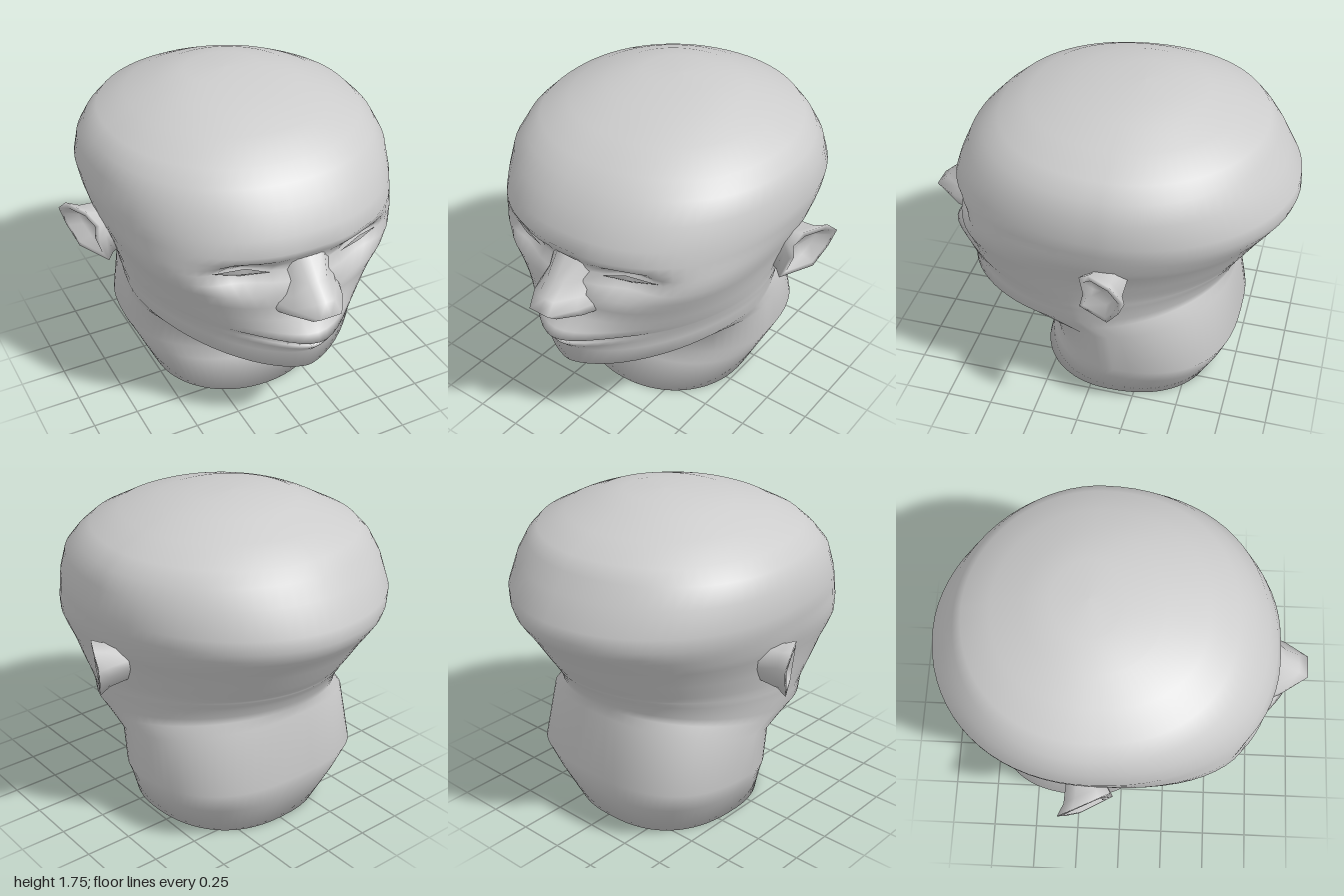
import * as THREE from 'three';

const skin = new THREE.MeshStandardMaterial({ color: 0xcccccc });
skin.name = 'plain grey';

// Skin rows of points; columns run counter-clockwise round the direction of travel
function loft(name, rows, closed, flip = false) {
  const n = rows[0].length, pos = rows.flat(2), index = [];
  for (let i = 0; i < rows.length - 1; i++) {
    for (let j = 0; j < (closed ? n : n - 1); j++) {
      const k = (j + 1) % n;
      const a = i * n + j, b = i * n + k, c = a + n, d = b + n;
      if (flip) index.push(a, d, b, a, c, d);
      else index.push(a, b, d, a, d, c);
    }
  }
  const g = new THREE.BufferGeometry();
  g.setAttribute('position', new THREE.Float32BufferAttribute(pos, 3));
  g.setIndex(index);
  g.computeVertexNormals();
  const mesh = new THREE.Mesh(g, skin);
  mesh.name = name;
  return mesh;
}

// Tilted rings: y at front, y at back, z front, z back, half width,
// z of widest point, fullness of the front half, fullness of the back half
const neck = [
  [0, 0, .36, -.62, .48, -.1, 2.1, 2.4],
  [.2, .2, .315, -.705, .57, -.15, 2, 2.6],
  [.28, .34, .3, -.755, .62, -.17, 1.9, 2.7],
  [.41, .68, .34, -.705, .62, -.14, 1.85, 2.3],
];
const face = [
  [.44, .73, .64, -.705, .625, -.04, 1.6],
  [.48, .77, .81, -.72, .64, 0, 1.58],
  [.58, .81, .81, -.74, .65, 0, 1.6],
  [.64, .835, .80, -.755, .66, 0, 1.66],
  [.68, .855, .80, -.77, .665, 0, 1.73],
  [.695, .865, .80, -.775, .667, 0, 1.75],
  [.71, .875, .80, -.78, .67, 0, 1.78],
  [.755, .9, .80, -.80, .677, 0, 1.88],
  [.82, .93, .80, -.82, .69, -.02, 2.03],
  [.9, .975, .80, -.85, .705, -.04, 2.22],
  [.98, 1.03, .81, -.885, .727, -.06, 2.45],
  [1.04, 1.07, .815, -.91, .747, -.08, 2.55],
  [1.09, 1.11, .815, -.94, .762, -.1, 2.5],
  [1.13, 1.145, .815, -.965, .772, -.1, 2.43],
  [1.17, 1.175, .815, -.985, .78, -.12, 2.35],
];
const cranium = [
  [1.22, 1.22, .82, -1, .79, -.13, 2.27],
  [1.30, 1.29, .79, -.995, .803, -.14, 2.22],
  [1.42, 1.42, .735, -.92, .788, -.14, 2.22],
  [1.51, 1.51, .65, -.86, .745, -.14, 2.2],
  [1.58, 1.58, .57, -.81, .675, -.14, 2.2],
  [1.66, 1.65, .42, -.66, .53, -.14, 2.2],
  [1.72, 1.715, .2, -.5, .37, -.14, 2.1],
  [1.75, 1.75, 0, -.36, .21, -.17, 2],
  [1.755, 1.755, -.17, -.17, 0, -.17, 2],
];

// Lip bulge by height
const lips = [[.58, 0], [.64, .065], [.68, .09], [.695, .01], [.71, .115], [.755, .09], [.82, .02], [.9, 0]];
function lipBulge(y) {
  for (let i = 1; i < lips.length; i++) {
    const [y0, b0] = lips[i - 1], [y1, b1] = lips[i];
    if (y >= y0 && y <= y1) return b0 + (b1 - b0) * (y - y0) / (y1 - y0);
  }
  return 0;
}

function ring([yF, yB, zF, zB, w, zW, nF, nB = 2]) {
  const pts = [], N = 72;
  for (let j = 0; j < N; j++) {
    const t = j / N * Math.PI * 2, s = Math.sin(t), c = Math.cos(t);
    // the back is slightly fuller on the right
    const p = 2 / (c > 0 ? nF : nB + (s < 0 ? .1 : -.07));
    const x = w * Math.sign(s) * Math.abs(s) ** p;
    let z = zW + (c > 0 ? zF - zW : zW - zB) * Math.sign(c) * Math.abs(c) ** p;
    const y = yF + (yB - yF) * (zF - z) / Math.max(zF - zB, .001);
    if (c > 0) {
      z += lipBulge(yF) * Math.exp(-((x / .23) ** 2));
      // eye sockets and the dip between them
      z -= .135 * Math.exp(-(((Math.abs(x) - .33) / .16) ** 2) - ((y - 1.09) / .065) ** 2);
      z -= .06 * Math.exp(-((x / .18) ** 2) - ((y - 1.11) / .07) ** 2);
    }
    pts.push([x, y, z]);
  }
  return pts;
}

// Nose: y, ridge z, ridge half width, mid half width, base half width, base z
function nose() {
  const rows = [
    [.855, .74, .06, .13, .18, .72],
    [.855, .84, .05, .13, .19, .72],
    [.89, .95, .07, .155, .21, .72],
    [.93, 1.0, .06, .14, .20, .72],
    [.98, .945, .05, .12, .18, .71],
    [1.05, .865, .05, .10, .16, .70],
    [1.15, .775, .06, .10, .15, .70],
  ].map(([y, z, t, m, b, zb]) => {
    const zm = zb + (z - zb) * .55;
    return [[-b, y, zb], [-m, y, zm], [-t, y, z], [0, y, z], [t, y, z], [m, y, zm], [b, y, zb]];
  });
  return loft('nose', rows, false);
}

// Ear outline as z, y pairs
const earOutline = [[-.03, .85], [-.2, .87], [-.27, .98], [-.305, 1.07], [-.23, 1.14], [-.1, 1.135], [-.04, 1.07], [-.06, .97]];
function ear(side) {
  const cz = -.16, cy = 1.0;
  const loop = (scale, xOf) => earOutline.map(([z, y]) => {
    const zz = cz + (z - cz) * scale, yy = cy + (y - cy) * scale;
    return [side * xOf(zz, yy), yy, zz];
  });
  // the rim swings outward towards the back
  const flap = (z, y) => {
    const d = -z - .03;
    return .775 + .7 * d - .7 * d * d + .12 * (y - 1.07);
  };
  const rows = [
    loop(.75, () => .67),
    loop(.8, (z, y) => flap(z, y) - .06),
    loop(1, flap),
    loop(.78, flap),
    loop(.55, (z, y) => flap(z, y) - .06),
    loop(0, (z, y) => flap(z, y) - .07),
  ];
  return loft(side > 0 ? 'leftEar' : 'rightEar', rows, true, side < 0);
}

// Almond-shaped eye, slightly bulging
function eye(side) {
  const rim = [[.2, 1.09, .735], [.33, 1.072, .675], [.465, 1.1, .64], [.32, 1.137, .715]];
  const at = ([x, y, z]) => [side * x, y, z];
  const rows = [rim.map(at), rim.map(() => at([.33, 1.1, .705]))];
  return loft(side > 0 ? 'leftEye' : 'rightEye', rows, true, side < 0);
}

export function createModel() {
  const model = new THREE.Group();
  model.name = 'head';
  const rows = [...neck, ...face, ...cranium].map(ring);
  // close the underside of the neck
  rows.unshift(rows[0].map(() => [0, 0, -.1]));
  model.add(loft('headAndNeck', rows, true), nose());
  for (const side of [1, -1]) model.add(ear(side), eye(side));
  return model;
}
